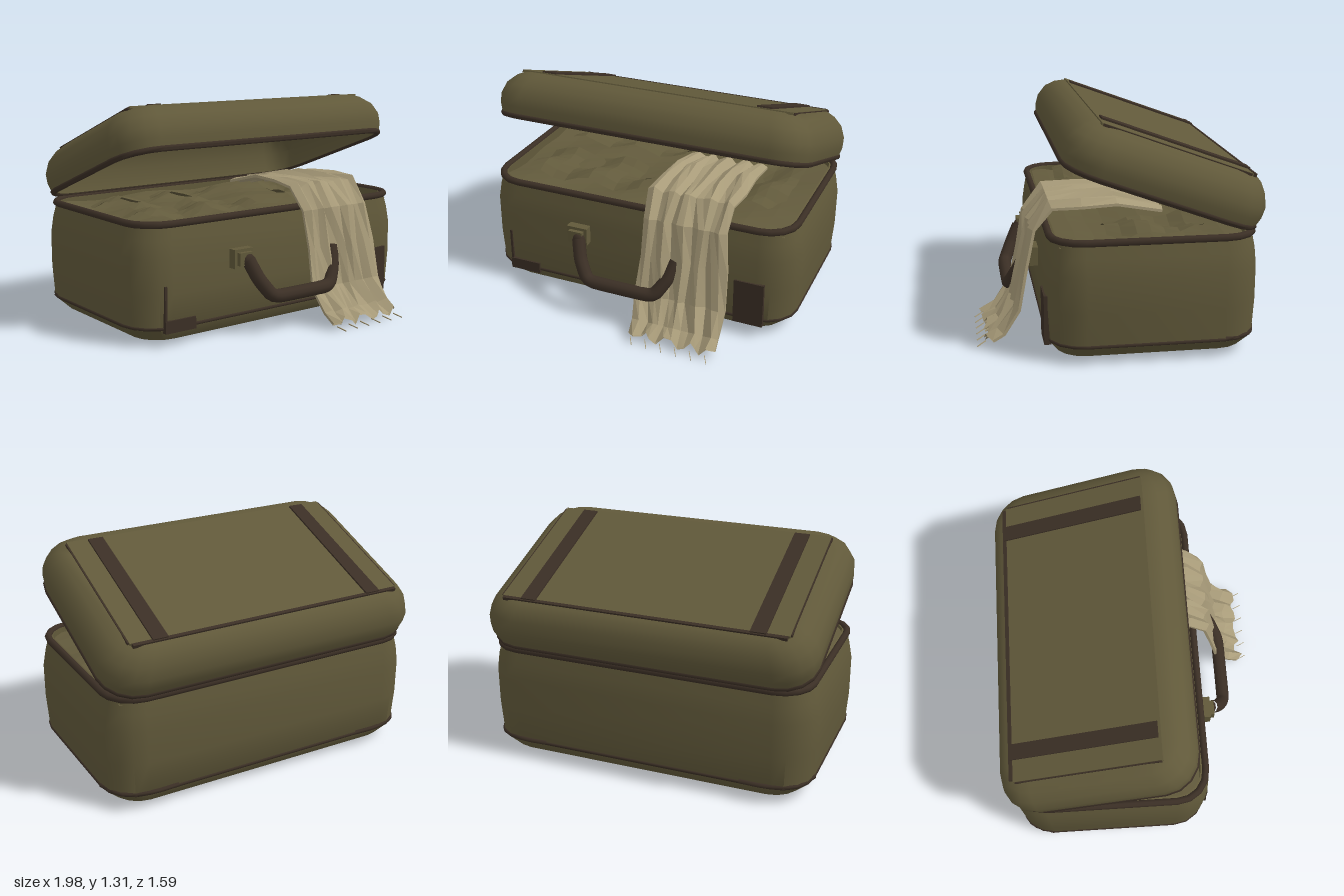
import * as THREE from 'three';
import { toCreasedNormals } from 'three/addons/utils/BufferGeometryUtils.js';

const olive = new THREE.MeshStandardMaterial({ color: 0x61593a });
olive.name = 'olive leather';
const brown = new THREE.MeshStandardMaterial({ color: 0x3b2f25 });
brown.name = 'dark brown leather';
const linen = new THREE.MeshStandardMaterial({ color: 0xa89b79, side: THREE.DoubleSide });
linen.name = 'beige linen';
const garment = new THREE.MeshStandardMaterial({ color: 0x625a3c, side: THREE.DoubleSide });
garment.name = 'olive cloth';

function add(parent, name, geometry, material, x = 0, y = 0, z = 0) {
  const mesh = new THREE.Mesh(geometry, material);
  mesh.name = name;
  mesh.position.set(x, y, z);
  parent.add(mesh);
  return mesh;
}

// Horizontal rounded rectangle as a ring of points
function ring(y, hx, z0, z1, r) {
  const pts = [], steps = 4;
  const corners = [[hx - r, z1 - r], [r - hx, z1 - r], [r - hx, z0 + r], [hx - r, z0 + r]];
  corners.forEach(([cx, cz], q) => {
    for (let i = 0; i <= steps; i++) {
      const a = (q + i / steps) * Math.PI / 2;
      pts.push([cx + r * Math.cos(a), y, cz + r * Math.sin(a)]);
    }
  });
  return pts;
}

// Skin over a stack of rings, optionally closed by end caps
function skin(rings, caps, crease = 0.7) {
  const n = rings[0].length, pos = rings.flat(2), idx = [];
  for (let k = 0; k < rings.length - 1; k++) {
    for (let i = 0; i < n; i++) {
      const a = k * n + i, b = k * n + (i + 1) % n;
      idx.push(a, a + n, b, b, a + n, b + n);
    }
  }
  if (caps) {
    const last = (rings.length - 1) * n;
    for (let i = 1; i < n - 1; i++) idx.push(0, i, i + 1, last, last + i + 1, last + i);
  }
  const g = new THREE.BufferGeometry();
  g.setAttribute('position', new THREE.Float32BufferAttribute(pos, 3));
  g.setIndex(idx);
  g.computeVertexNormals();
  return toCreasedNormals(g, crease);
}

// Round bead that follows a rounded rectangle
function bead(y, hx, z0, z1, r, t) {
  const rings = [];
  for (let k = 0; k <= 8; k++) {
    const a = -Math.PI + k * Math.PI / 4, e = t * Math.cos(a);
    rings.push(ring(y + t * Math.sin(a), hx + e, z0 - e, z1 + e, r + e));
  }
  return skin(rings, false, 1);
}

// Rippled sheet of cloth, flat shaded
function ripple(w, d, nx, nz, height) {
  const g = new THREE.PlaneGeometry(w, d, nx, nz).rotateX(-Math.PI / 2);
  const p = g.attributes.position;
  for (let i = 0; i < p.count; i++) p.setY(i, height(p.getX(i), p.getZ(i)));
  const flat = g.toNonIndexed();
  flat.computeVertexNormals();
  return flat;
}

function addBase(parent) {
  const base = new THREE.Group();
  base.name = 'base';
  parent.add(base);
  const profile = [
    [0.03, 0.9, -0.685, 0.365, 0.16], [0.1, 0.975, -0.74, 0.415, 0.2],
    [0.3, 0.99, -0.75, 0.425, 0.21], [0.5, 0.99, -0.75, 0.425, 0.21],
    [0.6, 0.97, -0.74, 0.41, 0.19], [0.68, 0.95, -0.725, 0.395, 0.18],
    [0.69, 0.92, -0.695, 0.365, 0.15], [0.58, 0.92, -0.695, 0.365, 0.15]];
  add(base, 'baseShell', skin(profile.map(p => ring(...p)), true), olive);
  add(base, 'baseRim', bead(0.685, 0.95, -0.725, 0.395, 0.18, 0.021), brown);
  add(base, 'lowerPiping', bead(0.11, 0.972, -0.737, 0.412, 0.2, 0.011), brown);

  // Rear corner guards wrapped low around the shell
  for (const s of [-1, 1]) {
    const curve = new THREE.CatmullRomCurve3([[0.6, -0.742], [0.77, -0.74], [0.915, -0.68], [0.976, -0.54]]
      .map(([x, z]) => new THREE.Vector3(s * x, 0.115, z)));
    add(base, 'rearCornerGuard', new THREE.TubeGeometry(curve, 12, 0.014, 6), brown);
  }

  // Front corner patches
  add(base, 'leftPatch', new THREE.BoxGeometry(0.18, 0.28, 0.04), brown, 0.74, 0.22, 0.415);
  add(base, 'rightPatchFoot', new THREE.BoxGeometry(0.2, 0.07, 0.03), brown, -0.735, 0.12, 0.415);
  add(base, 'rightPatchEdge', new THREE.BoxGeometry(0.014, 0.26, 0.03), brown, -0.828, 0.22, 0.41);
}

function addContents(parent) {
  const contents = new THREE.Group();
  contents.name = 'packedClothes';
  parent.add(contents);
  add(contents, 'bottomLayer', ripple(1.82, 1.04, 14, 10,
    (x, z) => 0.012 * Math.sin(x * 9 + z * 5) + 0.01 * Math.cos(z * 13)), garment, 0, 0.655, -0.165);
  const wave = (x, z) => 0.027 * Math.sin(x * 17 + z * 6) + 0.02 * Math.sin(z * 19);
  add(contents, 'frontGarment', ripple(0.75, 0.36, 9, 6, wave), garment, -0.42, 0.688, 0.04);
  add(contents, 'backGarment', ripple(0.8, 0.24, 9, 5, wave), garment, -0.35, 0.686, -0.42);
  add(contents, 'sideGarment', ripple(0.36, 0.55, 6, 7, wave), garment, 0.62, 0.682, -0.2);
}

function addLid(parent) {
  const lid = new THREE.Group();
  lid.name = 'lid';
  lid.position.set(0, 0.7, -0.74);
  lid.rotation.x = -0.35;
  parent.add(lid);
  // Inner ceiling, inner wall, rim, outer wall and top
  const profile = [
    [0.2, 0.88, 0.1, 1.04, 0.12], [0.12, 0.94, 0.05, 1.1, 0.16], [0, 0.94, 0.04, 1.1, 0.16],
    [0, 0.975, 0.005, 1.135, 0.2], [0.06, 0.99, -0.01, 1.155, 0.21], [0.12, 0.99, -0.01, 1.16, 0.21],
    [0.19, 0.965, 0.015, 1.14, 0.2], [0.24, 0.915, 0.05, 1.095, 0.17], [0.27, 0.86, 0.095, 1.045, 0.14]];
  add(lid, 'lidShell', skin(profile.map(p => ring(...p)), true), olive);
  add(lid, 'lidRim', bead(0.003, 0.968, 0.013, 1.13, 0.195, 0.018), brown);

  // Top panel with its straps
  add(lid, 'topPanel', new THREE.BoxGeometry(1.7, 0.014, 0.88), olive, 0, 0.27, 0.575);
  add(lid, 'panelBackPiping', new THREE.BoxGeometry(1.68, 0.02, 0.02), brown, 0, 0.27, 0.122);
  for (const s of [-1, 1]) {
    add(lid, 'panelSidePiping', new THREE.BoxGeometry(0.008, 0.014, 0.86), brown, s * 0.855, 0.268, 0.575);
    add(lid, 'strap', new THREE.BoxGeometry(0.09, 0.03, 0.88), brown, s * 0.68, 0.272, 0.56);
  }
}

function addHandle(parent) {
  const handle = new THREE.Group();
  handle.name = 'handle';
  parent.add(handle);
  const path = new THREE.CurvePath();
  const half = [[0.315, 0.44, 0.49], [0.28, 0.335, 0.54], [0.225, 0.25, 0.58], [0.17, 0.23, 0.59]];
  const pts = [...half.map(([x, y, z]) => [-x, y, z]), ...half.slice().reverse()];
  const curve = new THREE.CatmullRomCurve3(pts.map(p => new THREE.Vector3(...p)), false, 'catmullrom', 0.25);
  path.add(curve);
  add(handle, 'grip', new THREE.TubeGeometry(path, 36, 0.04, 10), brown);
  for (const s of [-1, 1]) {
    const end = add(handle, 'gripEnd', new THREE.SphereGeometry(0.04, 10, 6), brown, s * 0.315, 0.44, 0.49);
    end.scale.z = 0.7;
    add(handle, 'mount', new THREE.BoxGeometry(0.13, 0.11, 0.06), olive, s * 0.335, 0.45, 0.445);
    add(handle, 'mountStud', new THREE.BoxGeometry(0.09, 0.075, 0.03), olive, s * 0.335, 0.45, 0.485);
  }
}

function addScarf(parent) {
  const scarf = new THREE.Group();
  scarf.name = 'hangingScarf';
  parent.add(scarf);
  // Drape as [z, y, normal z, normal y, left edge, right edge]
  const drape = [
    [-0.26, 0.76, -0.1, 1, 0.12, 0.62], [0, 0.815, 0.05, 1, 0.11, 0.62], [0.2, 0.815, 0, 1, 0.11, 0.62],
    [0.37, 0.805, 0.4, 0.9, 0.1, 0.62], [0.475, 0.67, 0.95, 0.3, 0.1, 0.62], [0.52, 0.45, 1, 0.15, 0.1, 0.63],
    [0.57, 0.22, 0.95, 0.3, 0.1, 0.64], [0.66, 0.09, 0.75, 0.65, 0.12, 0.65], [0.735, 0.045, 0.45, 0.85, 0.11, 0.65]];
  const pleats = 14, t = 0.008;
  const rows = drape.map(([z, y, nz, ny, x0, x1], k) => {
    const top = [], under = [];
    for (let i = 0; i <= pleats; i++) {
      const h = 0.018 * Math.sin(i * 2.1) + 0.008 * Math.sin(i * 3.7 + k * 1.3);
      const x = x0 + (x1 - x0) * i / pleats + 0.012 * Math.sin(k * 1.7 + i * 0.8);
      const hem = k === drape.length - 1 ? 0.035 * Math.sin(i * 1.7) : 0;
      top.push([x, y + ny * (h + t) - hem * 0.4, z + nz * (h + t) + hem * 0.6]);
      under.unshift([x, y + ny * (h - t) - hem * 0.4, z + nz * (h - t) + hem * 0.6]);
    }
    return [...top, ...under];
  });
  add(scarf, 'scarf', skin(rows.reverse(), false, 0.2), linen);
  // Loose threads at the hem
  for (let i = 0; i < 6; i++) {
    const thread = add(scarf, 'fringe', new THREE.BoxGeometry(0.004, 0.006, 0.06), linen,
      0.15 + i * 0.092, 0.018, 0.77);
    thread.rotation.set(0.4, 0.5, 0);
  }
}

export function createModel() {
  const model = new THREE.Group();
  model.name = 'openSuitcase';
  addBase(model);
  addContents(model);
  addLid(model);
  addHandle(model);
  addScarf(model);
  return model;
}
